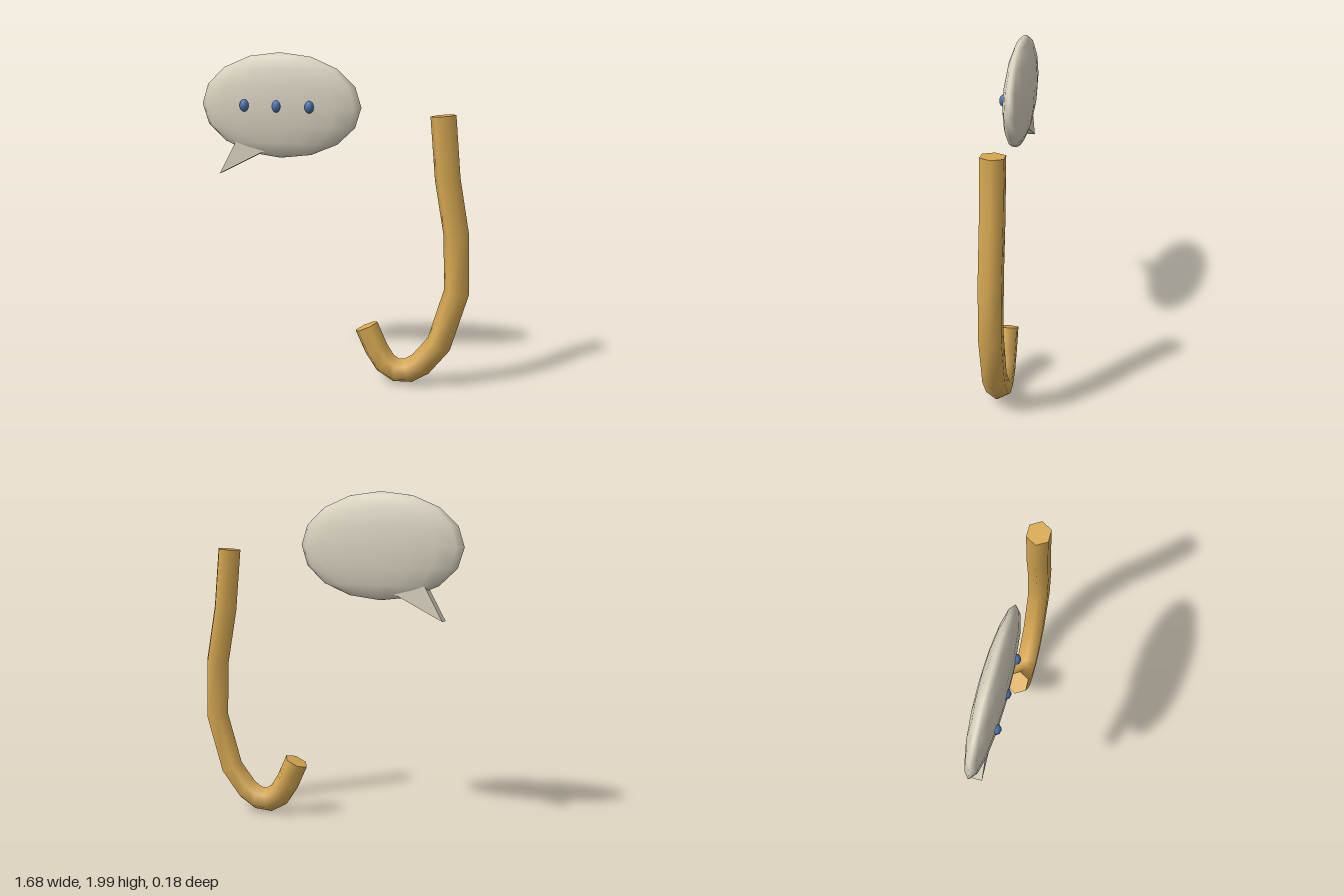
import * as THREE from 'three';

const ivory = new THREE.MeshStandardMaterial({ name: 'ivory', color: 0xd8d1bf });
const ochre = new THREE.MeshStandardMaterial({ name: 'ochre', color: 0xd8a953 });
const blue = new THREE.MeshStandardMaterial({ name: 'blue', color: 0x4a72b0 });

const MID_Z = -0.01;

function add(parent, name, geometry, material, x = 0, y = 0, z = 0) {
  const mesh = new THREE.Mesh(geometry, material);
  mesh.name = name;
  mesh.position.set(x, y, z);
  parent.add(mesh);
  return mesh;
}

// Hexagonal rod bent along a planar curve, one ring per path point
function bentRod(points, radius) {
  const curve = new THREE.CatmullRomCurve3(points.map(([x, y]) => new THREE.Vector3(x, y, 0)));
  const geo = new THREE.CylinderGeometry(radius, radius, 1, 6, points.length - 1).rotateY(Math.PI / 6);
  const pos = geo.attributes.position;
  const nor = geo.attributes.normal;
  const zAxis = new THREE.Vector3(0, 0, 1);
  const frame = new THREE.Matrix4();
  const v = new THREE.Vector3();
  for (let i = 0; i < pos.count; i++) {
    const t = THREE.MathUtils.clamp(pos.getY(i) + 0.5, 0, 1);
    const tangent = curve.getTangent(t);
    frame.makeBasis(new THREE.Vector3().crossVectors(tangent, zAxis), tangent, zAxis);
    v.set(pos.getX(i), 0, pos.getZ(i)).applyMatrix4(frame).add(curve.getPoint(t));
    pos.setXYZ(i, v.x, v.y, v.z);
    v.fromBufferAttribute(nor, i).applyMatrix4(frame);
    nor.setXYZ(i, v.x, v.y, v.z);
  }
  return geo;
}

export function createModel() {
  const model = new THREE.Group();
  model.name = 'hookAndSpeechBubble';

  // Hooked rod, from the short end round to the tall end
  const path = [
    [0.21, 0.345], [0.272, 0.21], [0.33, 0.122], [0.4, 0.081], [0.475, 0.086], [0.55, 0.133],
    [0.66, 0.27], [0.76, 0.6], [0.752, 0.945], [0.693, 1.28], [0.66, 1.65],
  ];
  add(model, 'hook', bentRod(path, 0.076), ochre, 0, 0, MID_Z);

  // Speech bubble
  const bubble = new THREE.Group();
  bubble.name = 'speechBubble';
  model.add(bubble);
  const body = new THREE.SphereGeometry(1, 16, 8).scale(0.505, 0.3175, 0.08);
  add(bubble, 'bubbleBody', body, ivory, -0.335, 1.6825, MID_Z);

  // Pointed tail, its base buried in the body
  const tail = new THREE.Shape([[-0.725, 1.255], [-0.32, 1.462], [-0.58, 1.52]].map(([x, y]) => new THREE.Vector2(x, y)));
  const depth = 0.066;
  const tailGeo = new THREE.ExtrudeGeometry(tail, { depth, bevelEnabled: false });
  add(bubble, 'bubbleTail', tailGeo, ivory, 0, 0, MID_Z - depth / 2);

  // Three dots on the front
  const dot = new THREE.SphereGeometry(1, 12, 8).scale(0.029, 0.037, 0.027);
  for (const i of [-1, 0, 1]) {
    add(bubble, 'dot', dot, blue, -0.335 + i * 0.205, 1.684, 0.063);
  }

  return model;
}
